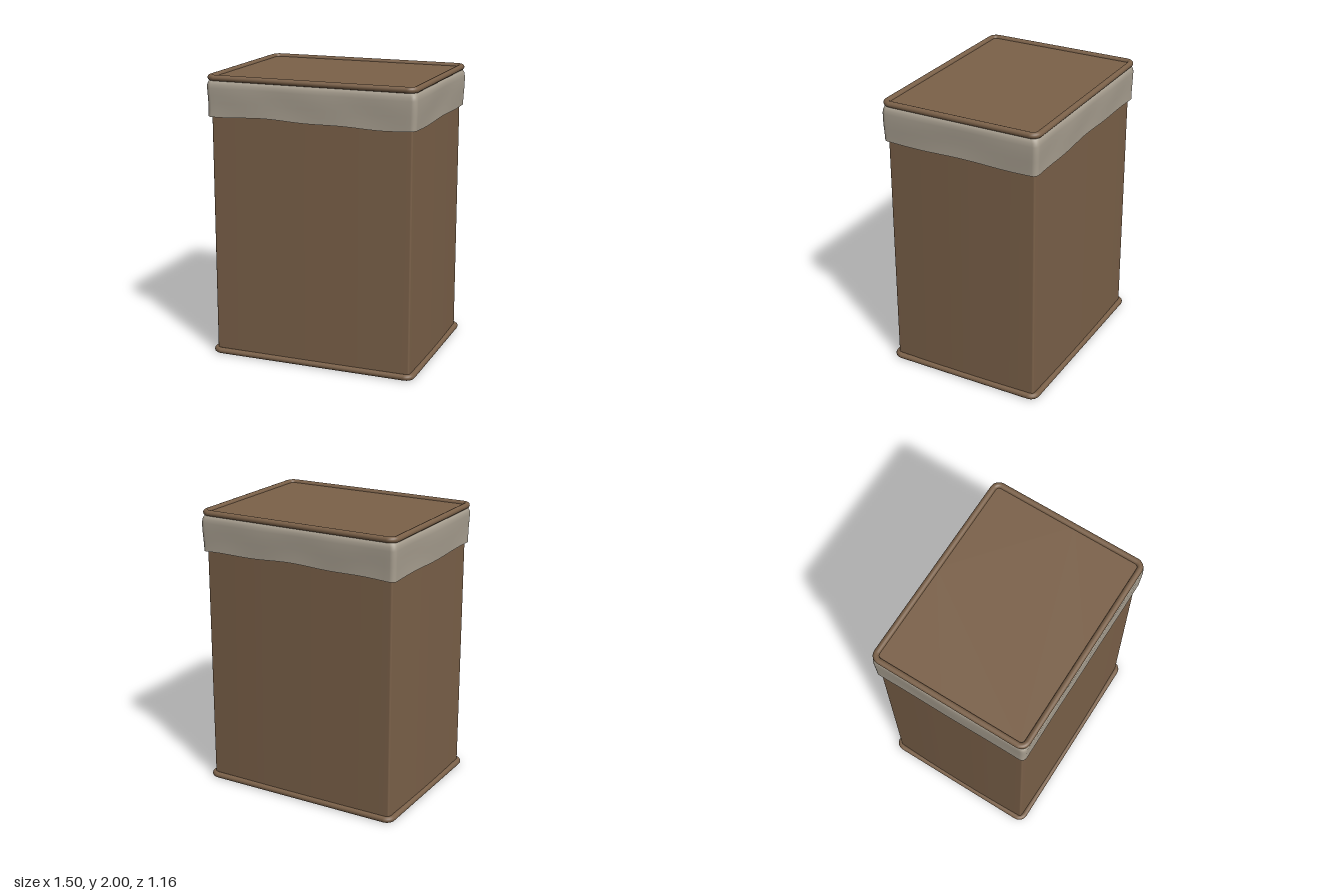
import * as THREE from 'three';

const Z0 = -0.003; // slight depth offset of the whole basket

// Rounded-rectangle loop with half sizes w, d and corner radius r, subdivided along the sides.
// Sides swell gently outward by `bulge`. Order runs from +x towards +z.
function ring(w, d, r, bulge = 0, n = 24, c = 6) {
  const pts = [];
  const corners = [[1, 1, 0], [-1, 1, 1], [-1, -1, 2], [1, -1, 3]];
  corners.forEach(([sx, sz, q], k) => {
    for (let i = 0; i <= c; i++) {
      const a = (q + i / c) * Math.PI / 2;
      pts.push([sx * (w - r) + r * Math.cos(a), sz * (d - r) + r * Math.sin(a)]);
    }
    const p = pts[pts.length - 1];
    const [nx, nz, nq] = corners[(k + 1) % 4];
    const e = nq * Math.PI / 2;
    const t = [nx * (w - r) + r * Math.cos(e), nz * (d - r) + r * Math.sin(e)];
    for (let i = 1; i < n; i++) {
      const u = i / n, b = bulge * 4 * u * (1 - u);
      pts.push([p[0] + (t[0] - p[0]) * u + b * Math.cos(e), p[1] + (t[1] - p[1]) * u + b * Math.sin(e)]);
    }
  });
  return pts;
}

// Smooth surface through rows of [x, y, z] loops; closeRows joins the last row to the first.
function loft(rows, closeRows = false) {
  const m = rows[0].length, R = rows.length, index = [];
  for (let j = 0; j < (closeRows ? R : R - 1); j++) {
    for (let i = 0; i < m; i++) {
      const a = j * m + i, b = j * m + (i + 1) % m;
      const c = ((j + 1) % R) * m + i, d = ((j + 1) % R) * m + (i + 1) % m;
      index.push(a, c, b, b, c, d);
    }
  }
  const g = new THREE.BufferGeometry();
  g.setAttribute('position', new THREE.Float32BufferAttribute(rows.flat(2), 3));
  g.setIndex(index);
  g.computeVertexNormals();
  return g;
}

const level = (pts, y) => pts.map(([x, z]) => [x, y, z]);

export function createModel() {
  const wicker = new THREE.MeshStandardMaterial({ color: 0x7b6149 });
  wicker.name = 'wickerBrown';
  const linen = new THREE.MeshStandardMaterial({ color: 0xa9a091, side: THREE.DoubleSide });
  linen.name = 'linenGrey';

  const group = new THREE.Group();
  group.name = 'laundryBasket';
  const add = (name, geometry, material) => {
    const mesh = new THREE.Mesh(geometry, material);
    mesh.name = name;
    mesh.position.z = Z0;
    group.add(mesh);
    return mesh;
  };

  // Tall walls, very slightly swollen
  const wall = ring(0.717, 0.547, 0.012, 0.011);
  add('basketWalls', loft([level(wall, 0.02), level(wall, 1.98)]), wicker);

  // Flat lid and base inside the rims
  const outline = new THREE.Shape(ring(0.73, 0.56, 0.045).map(([x, z]) => new THREE.Vector2(x, z)));
  const panel = new THREE.ShapeGeometry(outline);
  const lid = add('lidPanel', panel, wicker);
  lid.rotation.x = -Math.PI / 2;
  lid.position.y = 1.98;
  const base = add('basePanel', panel, wicker);
  base.rotation.x = Math.PI / 2;
  base.position.y = 0.02;

  // Round rims around lid and base
  for (const [name, y] of [['topRim', 1.979], ['bottomRim', 0.021]]) {
    const rows = [];
    for (let k = 0; k < 12; k++) {
      const a = k / 12 * Math.PI * 2, o = 0.021 * Math.cos(a);
      rows.push(level(ring(0.73 + o, 0.56 + o, 0.045 + o, 0, 4, 8), y + 0.021 * Math.sin(a)));
    }
    add(name, loft(rows, true), wicker);
  }

  // Cloth liner folded over the top, rippled and with an uneven hem
  const profile = [[1.715, 0.743], [1.76, 0.743], [1.81, 0.745], [1.86, 0.747],
    [1.91, 0.748], [1.935, 0.746], [1.955, 0.738], [1.963, 0.722]];
  const liner = profile.map(([y, w]) => ring(w, w - 0.171, 0.035, 0, 40, 6).map(([x, z]) => {
    const fall = Math.max(0, (1.96 - y) / 0.245); // 1 at the hem, 0 at the top
    const hem = 0.007 * Math.sin(4.2 * x + 2.3 + z) + 0.004 * Math.sin(11 * x + 9 * z);
    const swell = 0.004 * Math.sin(Math.PI * fall) * Math.sin(11 * x + 7 * z + 5 * y);
    return [x * (1 + swell), y + hem * fall, z * (1 + swell)];
  }));
  add('clothLiner', loft(liner), linen);

  return group;
}
